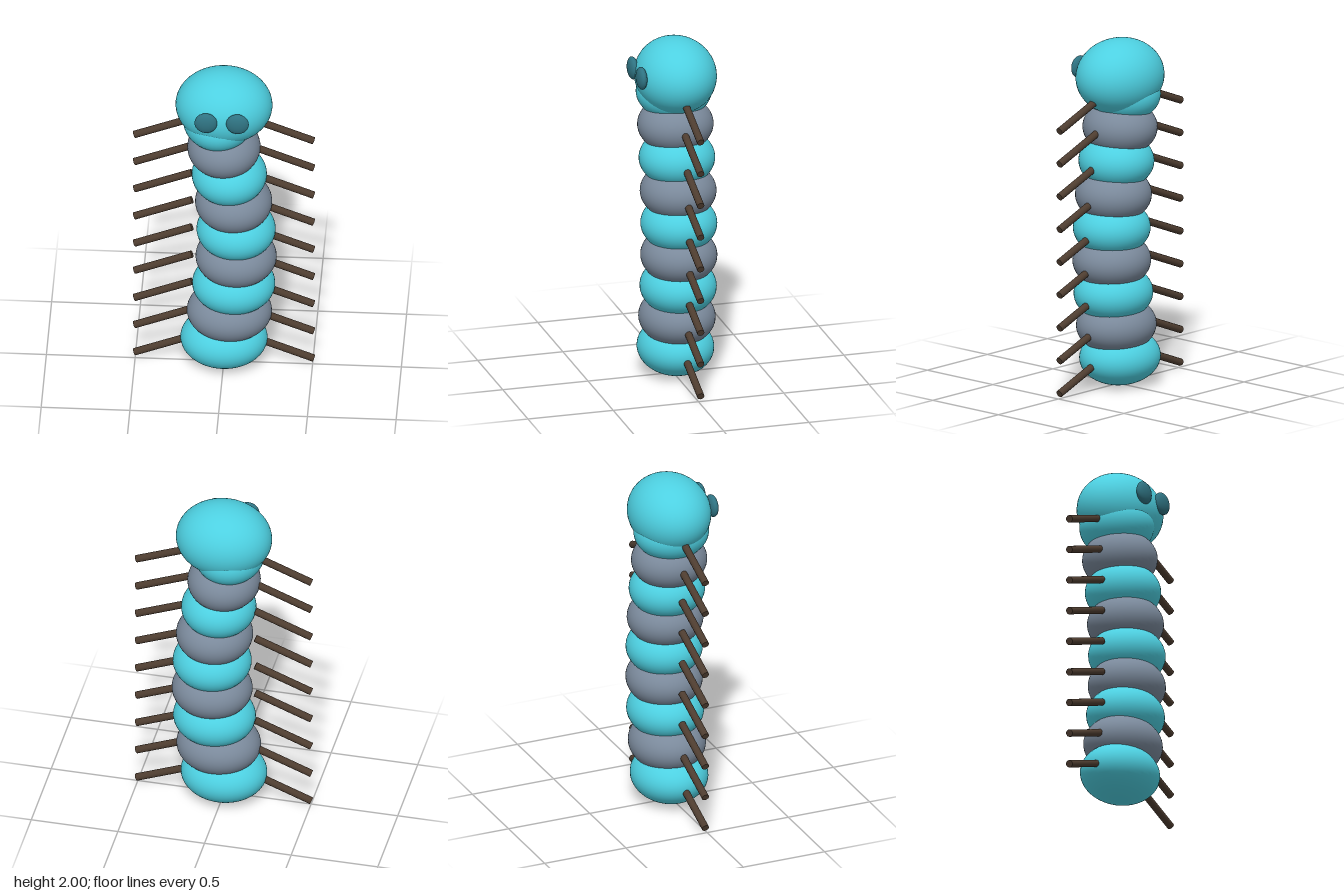
import * as THREE from 'three';

const material = (color) => new THREE.MeshStandardMaterial({ color });

export function createModel() {
  const model = new THREE.Group();
  model.name = 'caterpillar';
  const teal = material(0x4dd0e1);
  const slate = material(0x7b8a9c);
  const brown = material(0x4e3d30);
  const dark = material(0x2f7382);

  const sphere = new THREE.SphereGeometry(1, 48, 32);
  const Z = -0.012; // body axis depth

  function ellipsoid(name, mat, center, radii) {
    const mesh = new THREE.Mesh(sphere, mat);
    mesh.name = name;
    mesh.position.set(...center);
    mesh.scale.set(...radii);
    model.add(mesh);
  }

  // Legs slope down and outward from the body axis
  const inner = new THREE.Vector2(0.18, 0);
  const outer = new THREE.Vector2(0.505, -0.128);
  const run = outer.clone().sub(inner);
  const legGeometry = new THREE.CylinderGeometry(0.021, 0.021, run.length(), 12);

  // Swaying stack of flattened segments, narrowing upward, each with a leg pair
  const count = 9;
  for (let i = 0; i < count; i++) {
    const y = 0.16 + 0.19 * i;
    ellipsoid('bodySegment' + (i + 1), i % 2 ? slate : teal,
      [0.07 * Math.sin(i * 0.45), y, Z],
      [0.245 - 0.0056 * i, 0.16, 0.216]);
    for (const side of [-1, 1]) {
      const leg = new THREE.Mesh(legGeometry, brown);
      leg.name = (side > 0 ? 'leftLeg' : 'rightLeg') + (i + 1);
      leg.position.set(side * (inner.x + outer.x) / 2, y + outer.y / 2, Z);
      leg.rotation.z = side * Math.atan2(run.x, -run.y);
      model.add(leg);
    }
  }

  // Head and eyes
  ellipsoid('head', teal, [0, 1.784, Z], [0.273, 0.216, 0.23]);
  for (const side of [-1, 1]) {
    ellipsoid(side > 0 ? 'leftEye' : 'rightEye', dark,
      [side * 0.089, 1.815, 0.213], [0.064, 0.065, 0.029]);
  }
  return model;
}
